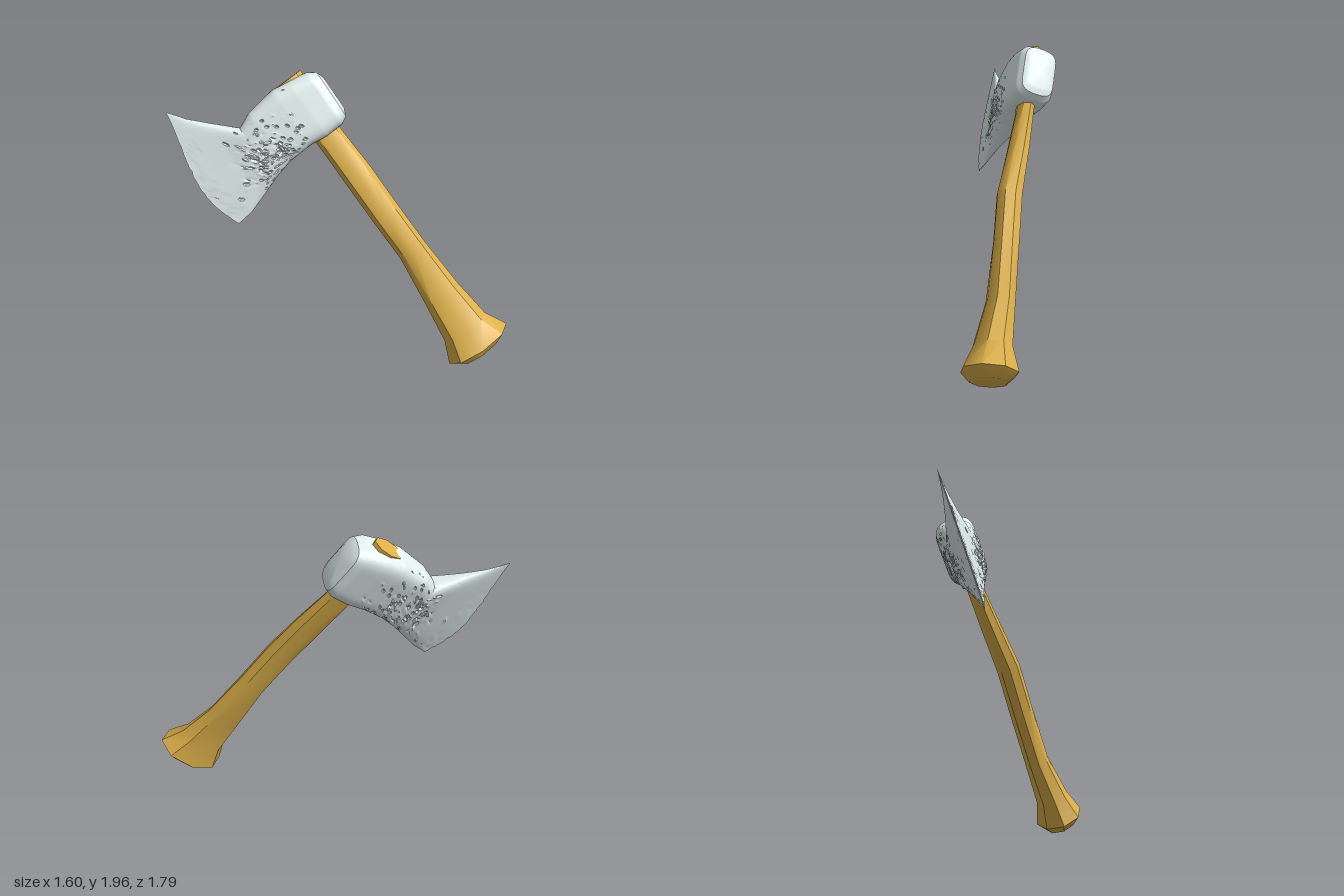
import * as THREE from 'three';
import { toCreasedNormals } from 'three/addons/utils/BufferGeometryUtils.js';

// Closed skin over a list of equal-length rings, capped at both ends
function loft(rings, crease) {
  const n = rings[0].length, pos = rings.flat(2), index = [];
  rings.slice(1).forEach((_, i) => {
    for (let j = 0; j < n; j++) {
      const a = i * n + j, b = i * n + (j + 1) % n;
      index.push(a, b, b + n, a, b + n, a + n);
    }
  });
  [0, rings.length - 1].forEach((r) => {
    const centre = pos.length / 3;
    for (let k = 0; k < 3; k++) pos.push(rings[r].reduce((s, p) => s + p[k], 0) / n);
    for (let j = 0; j < n; j++) {
      const a = r * n + j, b = r * n + (j + 1) % n;
      index.push(centre, ...(r ? [a, b] : [b, a]));
    }
  });
  const geo = new THREE.BufferGeometry();
  geo.setAttribute('position', new THREE.Float32BufferAttribute(pos, 3));
  geo.setIndex(index);
  return toCreasedNormals(geo, crease);
}

function seeded(seed) {
  return () => {
    seed = (seed * 16807) % 2147483647;
    return seed / 2147483647;
  };
}

// Local frame: y along the handle, z towards the cutting edge, x is thickness
function handleGeometry() {
  // height, x centre, z centre, half thickness (x), half depth (z)
  const sections = [
    [-0.02, 0, 0, 0.073, 0.11], [-0.5, 0, -0.01, 0.056, 0.094], [-0.8, 0.012, -0.016, 0.07, 0.102],
    [-1.13, 0.028, -0.015, 0.084, 0.102], [-1.45, 0.008, -0.018, 0.084, 0.102],
    [-1.83, -0.012, -0.004, 0.085, 0.135], [-2.12, 0, 0, 0.115, 0.172],
    [-2.28, 0, -0.006, 0.168, 0.246], [-2.335, -0.012, 0.015, 0.11, 0.165],
  ];
  const rings = sections.map(([y, x, z, thick, depth]) =>
    Array.from({ length: 8 }, (_, j) => {
      const t = j * Math.PI / 4;
      return [x + thick * Math.cos(t), y, z + depth * Math.sin(t)];
    }));
  return loft(rings, 0.7);
}

function headGeometry() {
  // top z, top y, bottom z, bottom y, half thickness, forward bulge
  const stations = [
    [-0.205, -0.14, -0.2, -0.39, 0.08, 0], [-0.188, -0.09, -0.178, -0.44, 0.113, 0],
    [-0.135, -0.055, -0.125, -0.465, 0.133, 0], [0, -0.025, 0, -0.47, 0.138, 0],
    [0.12, -0.015, 0.12, -0.455, 0.134, 0], [0.33, -0.045, 0.29, -0.462, 0.113, 0],
    [0.435, -0.09, 0.42, -0.493, 0.092, 0], [0.58, 0.055, 0.57, -0.545, 0.052, 0.01],
    [0.68, 0.16, 0.71, -0.59, 0.026, 0.04], [0.765, 0.276, 0.83, -0.604, 0.003, 0.09],
  ];
  const rows = 48, random = seeded(71), rings = [];
  const ring = (s) => {
    const [zt, yt, zb, yb, half, bulge] = s;
    const point = (j, side) => {
      const t = 0.5 + 0.5 * Math.cos(Math.PI * j / rows); // 0 at the top, 1 at the bottom
      const thick = half * Math.pow(Math.max(0, 1 - Math.abs(2 * t - 1) ** 6), 0.4);
      const y = yt + (yb - yt) * t;
      let z = zt + (zb - zt) * t + bulge * Math.sin(Math.PI * t ** 1.4);
      // Rust pits in the cheeks and nicks along the lower edge
      const mask = Math.exp(-(((z - 0.38) / 0.2) ** 2) - ((y + 0.34) / 0.15) ** 2);
      const pit = random() < 0.45 * mask ? (random() - 0.6) * 0.028 : 0;
      if (bulge > 0.05 && t > 0.25 && t < 0.97) z -= 0.018 * random() ** 3;
      // The lower blade corner is bent slightly sideways
      const bend = -0.028 * t * Math.max(0, z);
      return [bend + side * Math.max(0, thick + (thick > 0.015 ? pit : 0)), y, z];
    };
    const pts = [];
    for (let j = 0; j <= rows; j++) pts.push(point(j, 1));
    for (let j = rows - 1; j > 0; j--) pts.push(point(j, -1));
    return pts;
  };
  stations.slice(1).forEach((b, i) => {
    const a = stations[i], steps = Math.ceil(Math.abs(b[0] - a[0]) / 0.014);
    for (let k = 0; k < steps; k++) rings.push(ring(a.map((v, m) => v + (b[m] - v) * k / steps)));
  });
  rings.push(ring(stations.at(-1)));
  return loft(rings, 0.6);
}

export function createModel() {
  const axe = new THREE.Group();
  axe.name = 'axe';
  const part = (name, geometry, color) => {
    const mesh = new THREE.Mesh(geometry, new THREE.MeshStandardMaterial({ color }));
    mesh.name = name;
    axe.add(mesh);
  };
  part('handle', handleGeometry(), 0xdcb04a);
  part('axeHead', headGeometry(), 0xe0eeec);

  // Lean the axe back and turn it on its handle
  const up = new THREE.Vector3(-0.308, 0.777, -0.549).normalize();
  const edge = new THREE.Vector3(-0.79, -0.53, -0.308);
  const side = up.clone().cross(edge).normalize();
  edge.crossVectors(side, up);
  axe.quaternion.setFromRotationMatrix(new THREE.Matrix4().makeBasis(side, up, edge));
  axe.position.set(-0.12, 1.94, -0.505);
  const root = new THREE.Group();
  root.name = 'leaningAxe';
  root.add(axe);
  return root;
}
